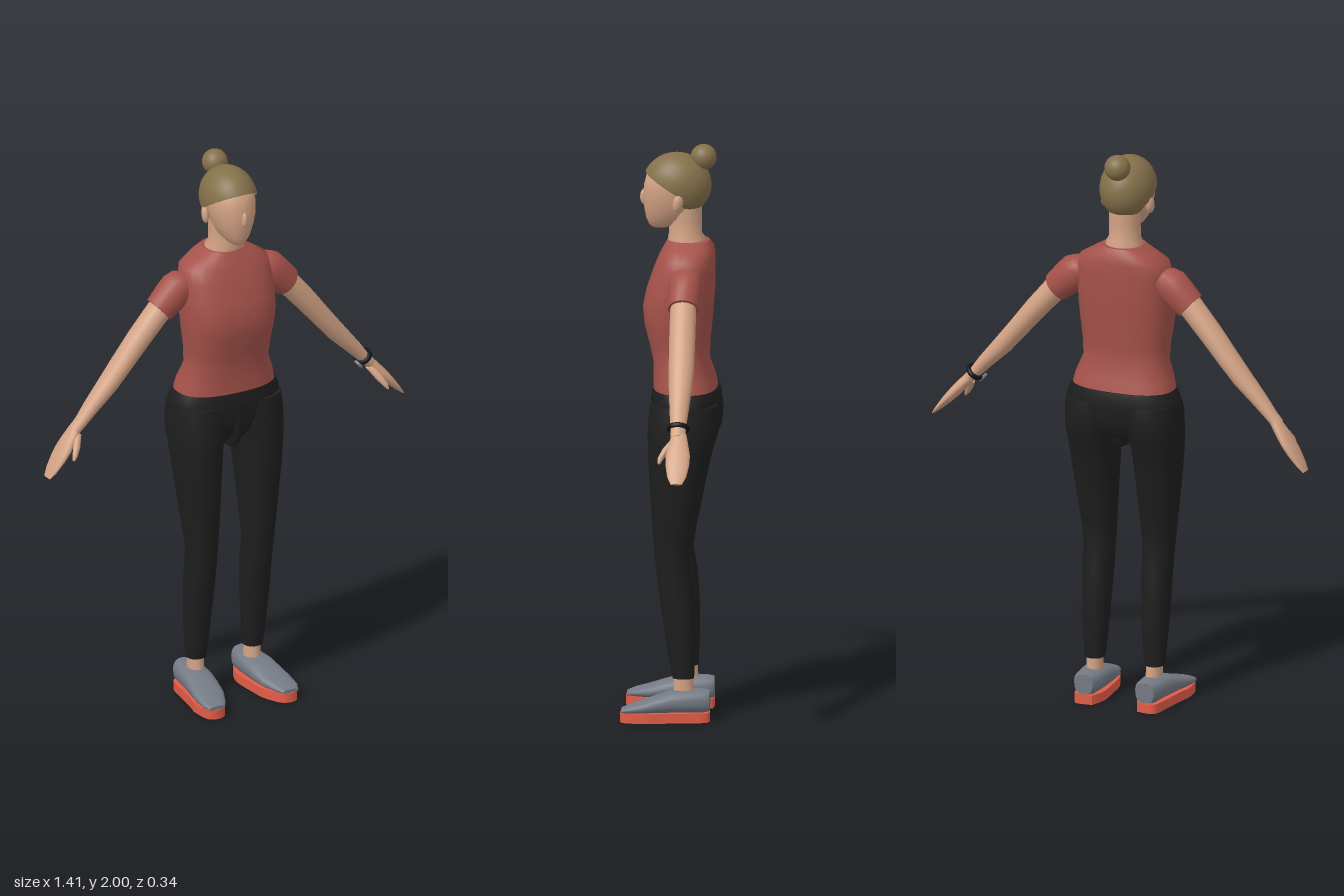
import * as THREE from 'three';

const mat = (name, color, side = THREE.FrontSide) => {
  const m = new THREE.MeshStandardMaterial({ color, side });
  m.name = name;
  return m;
};

// Skin over a row of rounded cross-sections: { c: centre, a: half size along u, b: half size along v }
function loft(sections, u, v, power = 2, n = 28) {
  const pos = [], idx = [];
  const ring = (s) => {
    for (let i = 0; i < n; i++) {
      const t = (i / n) * Math.PI * 2, e = 2 / power;
      const cu = Math.sign(Math.cos(t)) * Math.abs(Math.cos(t)) ** e * s.a;
      const cv = Math.sign(Math.sin(t)) * Math.abs(Math.sin(t)) ** e * s.b;
      const p = s.c.clone().addScaledVector(u, cu).addScaledVector(v, cv);
      pos.push(p.x, p.y, p.z);
    }
  };
  const last = sections.length - 1;
  const along = sections[last].c.clone().sub(sections[0].c);
  const flip = along.dot(u.clone().cross(v)) < 0;
  const tri = (a, b, c) => (flip ? idx.push(a, c, b) : idx.push(a, b, c));
  sections.forEach(ring);
  for (let k = 0; k < last; k++) {
    for (let i = 0; i < n; i++) {
      const j = (i + 1) % n, p = k * n, q = p + n;
      tri(p + i, p + j, q + j);
      tri(p + i, q + j, q + i);
    }
  }
  // end caps on their own vertices, so the rims stay crisp
  [[sections[0], true], [sections[last], false]].forEach(([s, start]) => {
    const base = pos.length / 3;
    ring(s);
    pos.push(s.c.x, s.c.y, s.c.z);
    for (let i = 0; i < n; i++) {
      const j = (i + 1) % n;
      if (start) tri(base + n, base + j, base + i);
      else tri(base + n, base + i, base + j);
    }
  });
  const g = new THREE.BufferGeometry();
  g.setAttribute('position', new THREE.Float32BufferAttribute(pos, 3));
  g.setIndex(idx);
  g.computeVertexNormals();
  return g;
}

const V = (x, y, z) => new THREE.Vector3(x, y, z);
const X = V(1, 0, 0), Y = V(0, 1, 0), Z = V(0, 0, 1);

// Upright form from rows of [y, xMin, xMax, zBack, zFront]
const upright = (rows, power, s = 1) => loft(rows.map(([y, x0, x1, z0, z1]) => ({
  c: V(s * (x0 + x1) / 2, y, (z0 + z1) / 2), a: (x1 - x0) / 2, b: (z1 - z0) / 2,
})), X, Z, power);

// Limb in the arm plane from rows of [x, y, z, thickness, depth], mirrored by s
function limb(rows, s) {
  const a = rows[0], b = rows[rows.length - 1];
  const d = V(s * (b[0] - a[0]), b[1] - a[1], 0).normalize();
  return loft(rows.map(([x, y, z, t, w]) => ({ c: V(s * x, y, z), a: t, b: w })), V(-d.y, d.x, 0), Z, 2, 20);
}

export function createModel() {
  const skin = mat('skin', 0xd2a284), hair = mat('hair', 0x84704a, THREE.DoubleSide);
  const shirt = mat('shirt red', 0xa5524a), pants = mat('pants black', 0x1e1e1e);
  const shoe = mat('shoe grey', 0x747a84), sole = mat('sole coral', 0xe25c47);
  const band = mat('band black', 0x141416), dial = mat('dial grey', 0x70767e);

  const model = new THREE.Group();
  const body = new THREE.Group();
  body.name = 'woman';
  body.position.x = -0.012;
  model.add(body);
  const add = (name, geo, m, parent = body) => {
    const mesh = new THREE.Mesh(geo, m);
    mesh.name = name;
    parent.add(mesh);
    return mesh;
  };

  // shirt and neck
  add('shirt', upright([
    [1.135, -0.188, 0.188, -0.158, 0.066], [1.19, -0.175, 0.175, -0.145, 0.066],
    [1.25, -0.152, 0.152, -0.125, 0.067], [1.31, -0.155, 0.155, -0.128, 0.08],
    [1.38, -0.164, 0.164, -0.135, 0.098], [1.44, -0.17, 0.17, -0.14, 0.103],
    [1.5, -0.171, 0.171, -0.144, 0.09], [1.57, -0.168, 0.168, -0.145, 0.066],
    [1.615, -0.16, 0.16, -0.144, 0.048], [1.645, -0.11, 0.11, -0.14, 0.032],
    [1.667, -0.072, 0.072, -0.125, 0.02],
  ], 2.5), shirt);
  add('neck', upright([
    [1.64, -0.066, 0.066, -0.11, 0.016], [1.674, -0.064, 0.064, -0.112, 0.018],
    [1.69, -0.055, 0.055, -0.1, 0.015], [1.74, -0.054, 0.054, -0.1, 0.014],
    [1.82, -0.056, 0.056, -0.1, 0.02],
  ], 2), skin);

  // head
  add('face', upright([
    [1.71, -0.018, 0.018, 0.02, 0.07], [1.72, -0.032, 0.032, -0.015, 0.083],
    [1.745, -0.052, 0.052, -0.05, 0.094], [1.78, -0.068, 0.068, -0.075, 0.1],
    [1.82, -0.078, 0.078, -0.09, 0.104], [1.86, -0.082, 0.082, -0.1, 0.1],
    [1.9, -0.077, 0.077, -0.1, 0.09], [1.94, -0.055, 0.055, -0.08, 0.055],
  ], 2.1), skin);
  add('nose', new THREE.SphereGeometry(1, 12, 10), skin).scale.set(0.011, 0.028, 0.014);
  body.getObjectByName('nose').position.set(0, 1.815, 0.1);
  const cap = new THREE.SphereGeometry(1, 36, 22, 0, Math.PI * 2, 0, 1.72).rotateX(-0.58);
  add('hair', cap.scale(0.095, 0.112, 0.119).translate(0, 1.86, -0.013), hair);
  add('hairUnderside', new THREE.SphereGeometry(1, 24, 16).scale(0.08, 0.07, 0.07), hair).position.set(0, 1.835, -0.05);
  add('hairBun', new THREE.SphereGeometry(0.045, 24, 16), hair).position.set(0, 1.957, -0.105);

  // hips
  add('hips', upright([
    [0.97, -0.1, 0.1, -0.11, 0.03], [1.0, -0.16, 0.16, -0.145, 0.055],
    [1.05, -0.2, 0.2, -0.163, 0.07], [1.1, -0.207, 0.207, -0.167, 0.074],
    [1.13, -0.2, 0.2, -0.166, 0.073], [1.155, -0.188, 0.188, -0.16, 0.07],
  ], 2.3), pants);
  add('crotch', upright([
    [0.94, -0.022, 0.022, -0.09, 0.03], [0.96, -0.03, 0.03, -0.12, 0.052],
    [1.02, -0.036, 0.036, -0.13, 0.07], [1.12, -0.036, 0.036, -0.12, 0.077],
  ], 2.2), pants);

  for (const s of [1, -1]) {
    const side = s > 0 ? 'left' : 'right';

    // leg and ankle
    add(side + 'Leg', upright([
      [0.15, 0.077, 0.147, -0.08, -0.006], [0.22, 0.072, 0.152, -0.083, 0.008],
      [0.3, 0.067, 0.157, -0.085, 0.02], [0.4, 0.061, 0.161, -0.083, 0.034],
      [0.48, 0.058, 0.162, -0.077, 0.045], [0.57, 0.057, 0.165, -0.062, 0.056],
      [0.65, 0.052, 0.174, -0.075, 0.062], [0.75, 0.045, 0.186, -0.096, 0.068],
      [0.86, 0.038, 0.198, -0.118, 0.075], [0.95, 0.032, 0.206, -0.14, 0.079],
      [1.0, 0.018, 0.209, -0.16, 0.08], [1.06, 0.008, 0.209, -0.167, 0.078],
      [1.11, 0.01, 0.203, -0.16, 0.07],
    ], 2.2, s), pants);
    add(side + 'Ankle', upright([
      [0.06, 0.08, 0.142, -0.085, 0.0], [0.1, 0.083, 0.14, -0.08, -0.008], [0.17, 0.084, 0.14, -0.075, -0.012],
    ], 2, s), skin);

    // shoe sole from its outline, slightly turned outward at the toe
    const outline = new THREE.Shape(new THREE.SplineCurve([
      [0.085, -0.13], [0.148, -0.13], [0.165, -0.06], [0.177, 0.03], [0.187, 0.09], [0.172, 0.163],
      [0.118, 0.165], [0.082, 0.1], [0.071, 0.03], [0.066, -0.07], [0.085, -0.13],
    ].map(([x, z]) => new THREE.Vector2(s * x, -z))).getPoints(50));
    add(side + 'ShoeSole', new THREE.ExtrudeGeometry(outline, { depth: 0.034, bevelEnabled: false }).rotateX(-Math.PI / 2), sole);

    // shoe upper, rows of [z, x centre, half width, bottom, top]
    add(side + 'ShoeUpper', loft([
      [-0.134, 0.115, 0.034, 0.035, 0.108], [-0.11, 0.115, 0.046, 0.03, 0.112],
      [-0.06, 0.116, 0.052, 0.03, 0.112], [-0.01, 0.12, 0.056, 0.03, 0.108],
      [0.04, 0.125, 0.057, 0.03, 0.092], [0.09, 0.132, 0.056, 0.03, 0.074],
      [0.14, 0.142, 0.045, 0.03, 0.059], [0.168, 0.145, 0.03, 0.032, 0.047],
    ].map(([z, x, w, y0, y1]) => ({ c: V(s * x, (y0 + y1) / 2, z), a: w, b: (y1 - y0) / 2 })), X, Y, 2.4), shoe);

    // sleeve and arm
    add(side + 'Sleeve', limb([
      [0.138, 1.575, -0.055, 0.025, 0.03], [0.152, 1.565, -0.055, 0.048, 0.05], [0.178, 1.543, -0.053, 0.062, 0.058],
      [0.21, 1.513, -0.053, 0.06, 0.057], [0.252, 1.474, -0.052, 0.053, 0.052],
    ], s), shirt);
    add(side + 'Arm', limb([
      [0.2, 1.522, -0.052, 0.04, 0.042], [0.25, 1.476, -0.052, 0.043, 0.045], [0.33, 1.385, -0.054, 0.04, 0.045],
      [0.4, 1.3, -0.056, 0.036, 0.044], [0.45, 1.24, -0.056, 0.034, 0.04], [0.52, 1.165, -0.056, 0.026, 0.032],
      [0.557, 1.122, -0.056, 0.021, 0.027], [0.585, 1.093, -0.057, 0.019, 0.026],
    ], s), skin);

    // hand with thumb
    const tx = s > 0 ? 0.71 : 0.689, ty = s > 0 ? 0.957 : 0.937;
    const at = (t, w, d) => [0.575 + (tx - 0.575) * t, 1.103 + (ty - 1.103) * t, -0.06, w, d];
    add(side + 'Hand', limb([
      at(0, 0.018, 0.026), at(0.2, 0.02, 0.034), at(0.42, 0.019, 0.042),
      at(0.62, 0.016, 0.041), at(0.85, 0.01, 0.033), at(1, 0.004, 0.02),
    ], s), skin);
    add(side + 'Thumb', limb([
      [0.575, 1.085, -0.045, 0.012, 0.014], [0.595, 1.055, -0.018, 0.013, 0.014],
      [0.612, 1.028, 0, 0.01, 0.011], [0.622, 1.01, 0.006, 0.004, 0.005],
    ], s), skin);

    // ear
    const ear = add(side + 'Ear', new THREE.SphereGeometry(1, 14, 10), skin);
    ear.scale.set(0.013, 0.032, 0.018);
    ear.position.set(s * 0.086, 1.81, -0.022);
    ear.rotation.set(-0.2, s * 0.3, 0);
  }

  // wristwatch on the left arm, its local z along the forearm
  const watch = new THREE.Group();
  watch.name = 'wristwatch';
  watch.position.set(0.557, 1.122, -0.056);
  watch.lookAt(0.557 + 0.65, 1.122 - 0.76, -0.056);
  body.add(watch);
  add('watchBand', new THREE.TorusGeometry(0.029, 0.007, 10, 28).scale(1.12, 0.95, 1.3), band, watch);
  const face = add('watchDial', new THREE.CylinderGeometry(0.018, 0.018, 0.009, 20), dial, watch);
  face.position.set(-0.012, -0.031, 0);
  return model;
}
